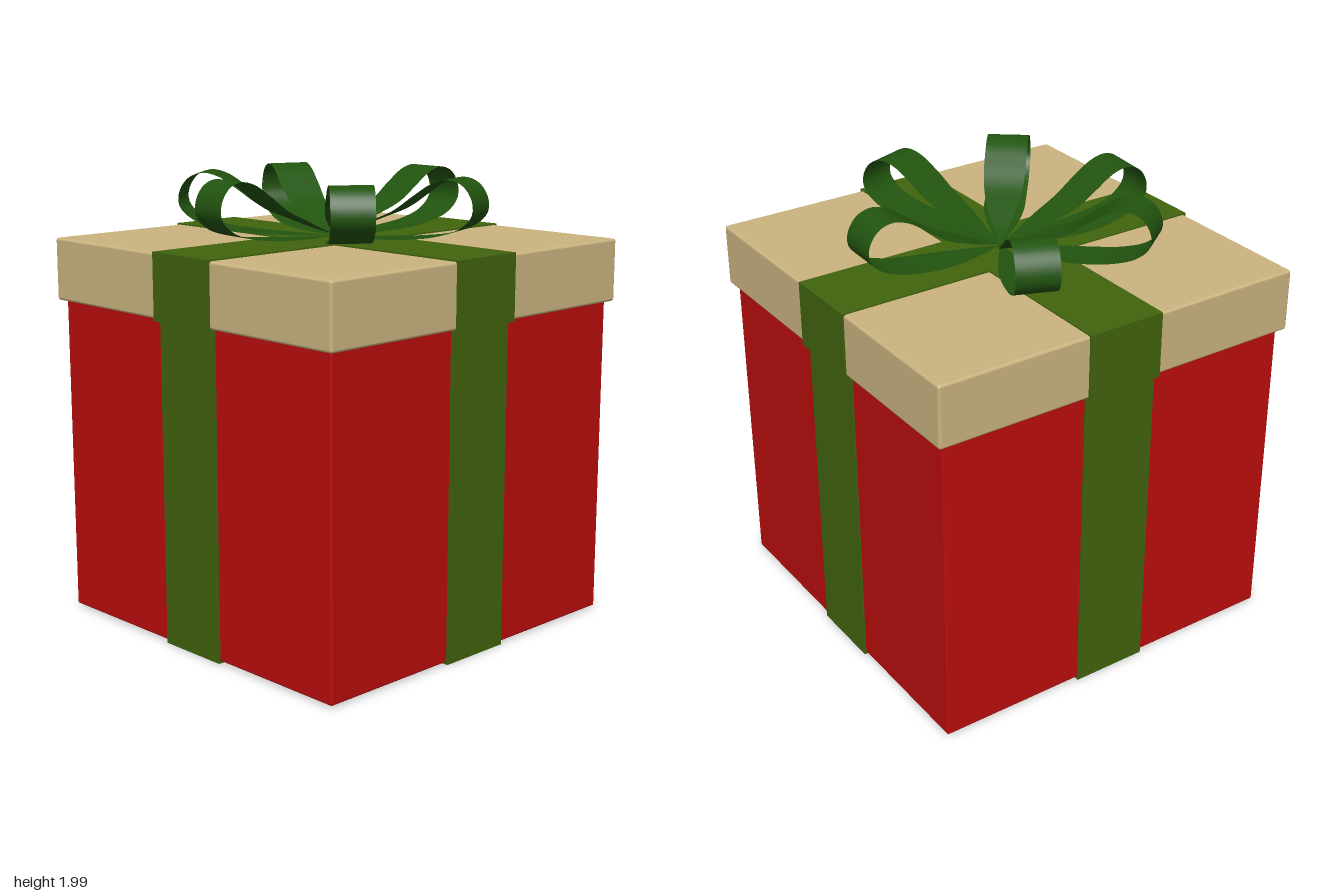
import * as THREE from 'three';
import { RoundedBoxGeometry } from 'three/addons/geometries/RoundedBoxGeometry.js';

const mat = (name, color, side = THREE.FrontSide) => {
  const m = new THREE.MeshStandardMaterial({ color, side });
  m.name = name;
  return m;
};

// Side outline of one bow loop: [distance from the knot, height]
const LOOP = [
  [0, 1.722], [0.1, 1.756], [0.2, 1.798], [0.32, 1.85], [0.42, 1.92], [0.5, 1.972],
  [0.575, 1.99], [0.64, 1.965], [0.68, 1.9], [0.677, 1.84], [0.62, 1.785],
  [0.52, 1.75], [0.4, 1.732], [0.2, 1.72], [0, 1.716],
];

// Ribbon strip swept along the loop, pinched at the knot, with a slight sideways bend
function loopGeometry(bend) {
  const curve = new THREE.CatmullRomCurve3(LOOP.map(([r, y]) => new THREE.Vector3(r, y, 0)), false, 'centripetal');
  const pts = curve.getSpacedPoints(72);
  const across = 4, pos = [], index = [];
  pts.forEach((p, i) => {
    const r = Math.max(p.x, 0);
    const half = 0.092 * Math.sin(Math.min(r / 0.42, 1) * Math.PI / 2);
    const shift = bend * Math.sin((r / 0.68) * Math.PI);
    for (let j = 0; j <= across; j++) {
      pos.push(p.x, p.y, shift + half * (2 * j / across - 1));
      if (i < pts.length - 1 && j < across) {
        const a = i * (across + 1) + j, b = a + across + 1;
        index.push(a, a + 1, b, b, a + 1, b + 1);
      }
    }
  });
  const g = new THREE.BufferGeometry();
  g.setAttribute('position', new THREE.Float32BufferAttribute(pos, 3));
  g.setIndex(index);
  g.computeVertexNormals();
  return g;
}

export function createModel() {
  const group = new THREE.Group();
  group.name = 'giftBox';
  const red = mat('red paper', 0xbc0d0d);
  const tan = mat('tan lid', 0xcbb480);
  const green = mat('green ribbon', 0x41640d);
  const bowGreen = mat('dark green bow', 0x22540f, THREE.DoubleSide);

  const block = (name, geometry, material, y) => {
    const m = new THREE.Mesh(geometry, material);
    m.name = name;
    m.position.y = y;
    group.add(m);
  };

  // Box and overhanging lid with softened edges
  block('boxBody', new RoundedBoxGeometry(1.684, 1.42, 1.684, 2, 0.008), red, 0.72);
  block('lid', new RoundedBoxGeometry(1.744, 0.277, 1.744, 2, 0.012), tan, 1.5665);

  // Crossed ribbon bands around the box and the lid
  block('bodyRibbonFrontBack', new THREE.BoxGeometry(0.345, 1.425, 1.7), green, 0.7125);
  block('bodyRibbonSides', new THREE.BoxGeometry(1.7, 1.425, 0.345), green, 0.7125);
  block('lidRibbonFrontBack', new THREE.BoxGeometry(0.354, 0.29, 1.76), green, 1.566);
  block('lidRibbonSides', new THREE.BoxGeometry(1.76, 0.29, 0.354), green, 1.566);

  // Six bow loops: [target x, target z, sideways bend]
  const bow = new THREE.Group();
  bow.name = 'bow';
  [
    [0.022, -0.69, -0.008], [0.64, -0.222, 0.012], [0.53, 0.418, -0.008],
    [-0.055, 0.68, 0.008], [-0.55, 0.405, 0.008], [-0.637, -0.255, -0.01],
  ].forEach(([x, z, bend], i) => {
    const loop = new THREE.Mesh(loopGeometry(bend), bowGreen);
    loop.name = 'bowLoop' + (i + 1);
    loop.rotation.y = Math.atan2(-z, x);
    bow.add(loop);
  });
  group.add(bow);
  return group;
}
